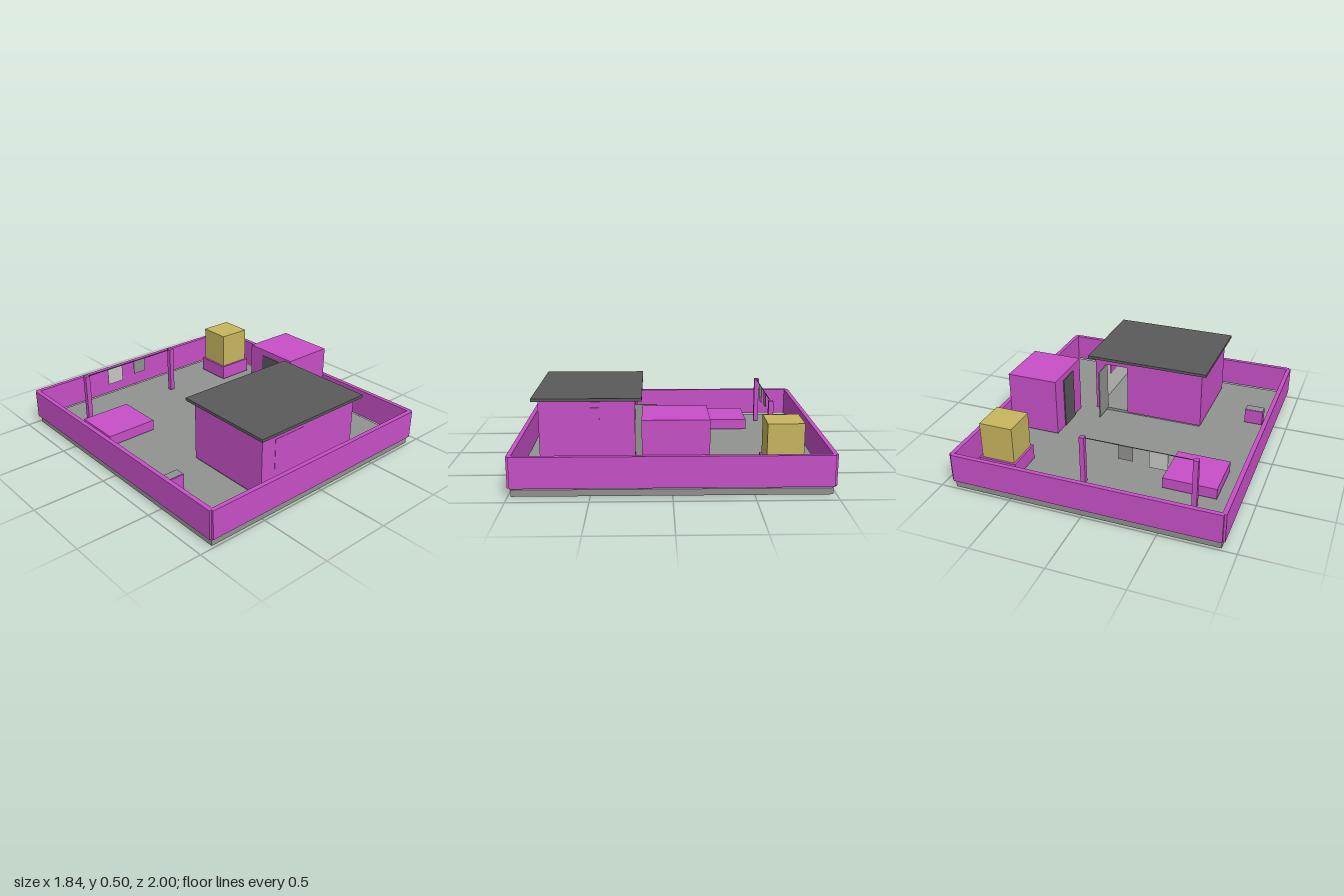
import * as THREE from 'three';

export function createModel() {
  const root = new THREE.Group();
  root.name = 'walledYard';

  const mat = (name, color) => {
    const m = new THREE.MeshStandardMaterial({ color });
    m.name = name;
    return m;
  };
  const magenta = mat('magenta', 0xc850c8);
  const stone = mat('stoneGray', 0x919390);
  const dark = mat('darkGray', 0x5a5a5c);
  const straw = mat('straw', 0xc8b75f);
  const pale = mat('paleGray', 0xc8c8c4);

  // Box given by its extents on each axis
  const box = (name, material, [x0, x1], [y0, y1], [z0, z1], parent = root) => {
    const mesh = new THREE.Mesh(new THREE.BoxGeometry(x1 - x0, y1 - y0, z1 - z0), material);
    mesh.position.set((x0 + x1) / 2, (y0 + y1) / 2, (z0 + z1) / 2);
    mesh.name = name;
    parent.add(mesh);
    return mesh;
  };
  const group = (name) => {
    const g = new THREE.Group();
    g.name = name;
    root.add(g);
    return g;
  };
  const base = 0.055;

  // Ground slab and surrounding wall
  box('groundSlab', stone, [-0.9, 0.9], [0, 0.042], [-0.98, 0.98]);
  const fence = group('yardWall');
  for (const s of [-1, 1]) {
    box('endWall', magenta, [-0.905, 0.905], [base, 0.255], [s * 0.985 - 0.015, s * 0.985 + 0.015], fence);
    box('sideWall', magenta, [s * 0.905 - 0.015, s * 0.905 + 0.015], [base, 0.255], [-0.985, 0.985], fence);
  }

  // House: outer walls, pale inner lining, doorway in the back
  const house = group('house');
  box('houseFloor', stone, [-0.4, 0.4], [0.042, 0.062], [0.245, 0.855], house);
  const outer = [base, 0.47], inner = [0.062, 0.48];
  box('frontWall', magenta, [-0.41, 0.41], outer, [0.855, 0.87], house);
  box('frontLining', pale, [-0.39, 0.39], inner, [0.845, 0.856], house);
  for (const s of [-1, 1]) {
    box('sideWall', magenta, [s * 0.405 - 0.005, s * 0.405 + 0.005], outer, [0.235, 0.87], house);
    box('sideLining', pale, [s * 0.395 - 0.006, s * 0.395 + 0.006], inner, [0.25, 0.855], house);
  }
  const doorway = [0.16, 0.325], doorTop = 0.43;
  for (const [x0, x1] of [[-0.41, doorway[0]], [doorway[1], 0.41]]) {
    box('backWall', magenta, [x0, x1], outer, [0.235, 0.25], house);
    box('backLining', pale, [Math.max(x0, -0.39), Math.min(x1, 0.39)], inner, [0.248, 0.26], house);
  }
  box('doorLintel', magenta, doorway, [doorTop, 0.47], [0.235, 0.25], house);
  box('openDoor', stone, [0.321, 0.329], [0.06, doorTop], [0.09, 0.24], house);
  box('frontWindow', magenta, [-0.3, -0.05], [0.18, 0.43], [0.842, 0.872], house);
  box('sideWindow', magenta, [0.386, 0.412], [0.23, 0.43], [0.47, 0.67], house);
  box('houseRoof', dark, [-0.45, 0.45], [0.48, 0.5], [0.19, 0.91], house);

  // Shed with its door
  const shed = group('shed');
  box('shedBody', magenta, [0.52, 0.885], [base, 0.47], [-0.225, 0.185], shed);
  box('shedDoor', dark, [0.513, 0.521], [base, 0.425], [-0.1, 0.06], shed);

  // Straw stack on a plinth
  const stack = group('strawStack');
  box('stackPlinth', magenta, [0.535, 0.797], [base, 0.16], [-0.83, -0.57], stack);
  box('stackTop', straw, [0.55, 0.782], [0.16, 0.415], [-0.815, -0.585], stack);

  // Clothes line
  const line = group('clothesLine');
  for (const x of [-0.65, 0.105]) {
    box('linePost', magenta, [x - 0.017, x + 0.017], [base, 0.397], [-0.722, -0.688], line);
  }
  box('lineCord', dark, [-0.65, 0.105], [0.389, 0.393], [-0.707, -0.703], line);
  box('largeCloth', pale, [-0.47, -0.345], [0.272, 0.39], [-0.707, -0.703], line);
  box('smallCloth', stone, [-0.24, -0.14], [0.29, 0.39], [-0.709, -0.704], line);

  // Raised bed and small trough
  box('raisedBed', magenta, [-0.763, -0.397], [base, 0.13], [-0.595, -0.26]);
  box('trough', magenta, [-0.832, -0.702], [base, 0.16], [0.405, 0.477]);
  box('troughTop', stone, [-0.827, -0.707], [0.16, 0.162], [0.41, 0.472]);

  return root;
}
